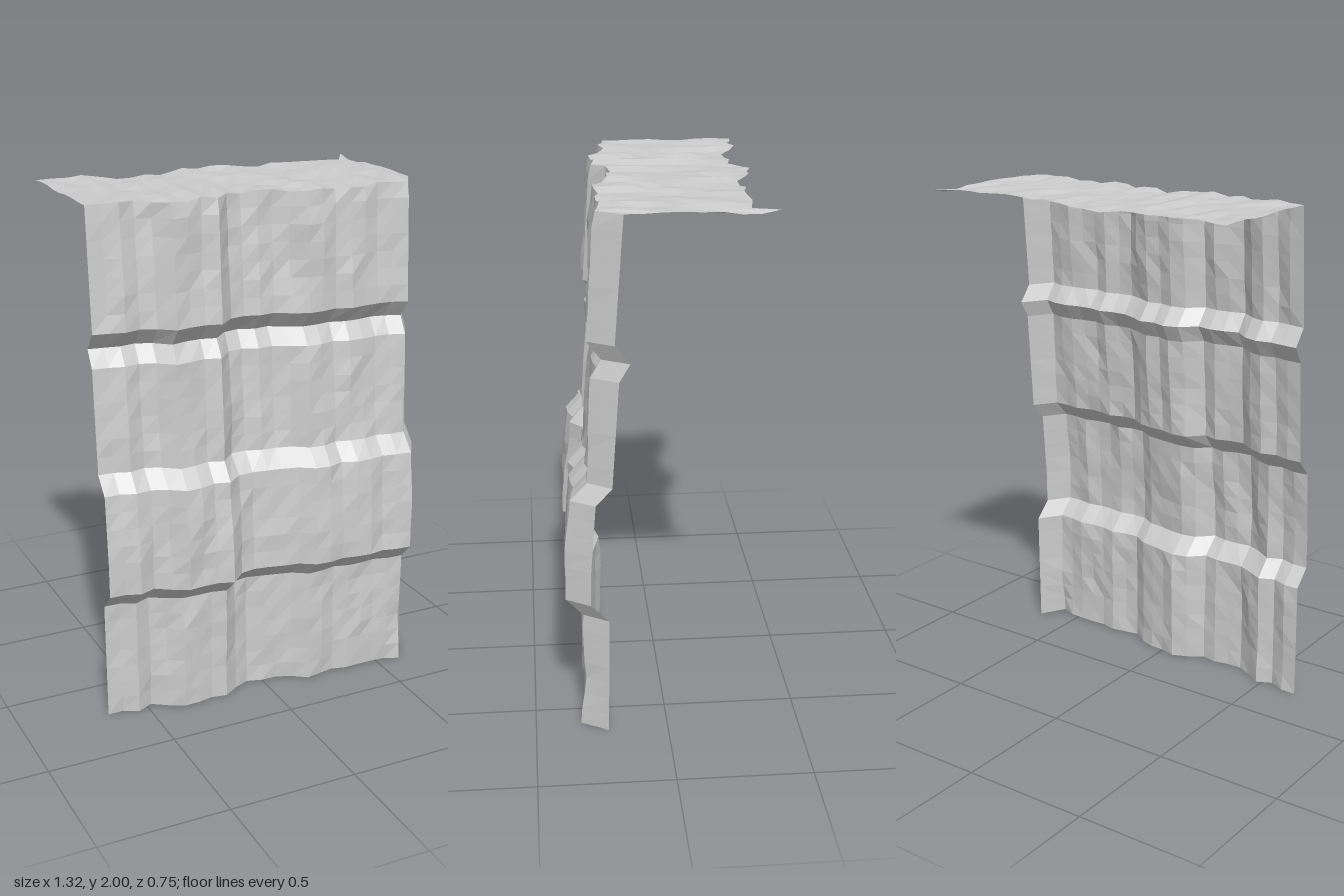
import * as THREE from 'three';

const COLS = 22, ROWS = 30, TOP_ROWS = 8;
const WIDTH = 1.32, HEIGHT = 2, DEPTH = 0.53;

// Depth of the rim at each column, left to right
const RIM = [0.155, 0.16, 0.18, 0.16, 0.185, 0.227, 0.22, 0.21, 0.225, 0.172, 0.157, 0.178,
  0.178, 0.2, 0.238, 0.237, 0.223, 0.238, 0.236, 0.228, 0.237, 0.248, 0.155];

// Ledge profile: height, forward offset
const LEDGES = [[0, 0.07], [0.467, 0.063], [0.533, 0.13], [0.667, 0.128], [0.933, 0.108],
  [1, 0.047], [1.4, 0.02], [1.467, -0.02], [1.533, 0.034], [2, 0]];

// Repeatable value in -1..1 for a grid cell
function hash(i, j) {
  let h = Math.imul(i + 17, 374761393) ^ Math.imul(j + 91, 668265263);
  h = Math.imul(h ^ (h >>> 13), 1274126177);
  return ((h ^ (h >>> 16)) >>> 0) / 2147483647.5 - 1;
}

function ledgeOffset(y) {
  for (let k = 1; k < LEDGES.length; k++) {
    const [y0, a] = LEDGES[k - 1], [y1, b] = LEDGES[k];
    if (y <= y1) return THREE.MathUtils.lerp(a, b, (y - y0) / (y1 - y0));
  }
  return 0;
}

// Rock roughness stretched along the columns, none on the side edges
function rough(i, j) {
  if (i === 0 || i === COLS) return 0;
  const t = j / 3 + (i % 3) / 3, k = Math.floor(t);
  return 0.009 * THREE.MathUtils.lerp(hash(i, k), hash(i, k + 1), t - k) + 0.003 * hash(i + 50, j);
}

// Height of the top surface, shared with the upper edge of the wall
const topHeight = (i, k) => HEIGHT - 0.008 + 0.008 * hash(i + 100, Math.floor((k + (i % 2)) / 2));

// Makes a grid and places each vertex by column and row
function sheet(name, rows, material, place) {
  const geometry = new THREE.PlaneGeometry(1, 1, COLS, rows);
  const pos = geometry.attributes.position;
  for (let r = 0; r <= rows; r++) {
    for (let i = 0; i <= COLS; i++) {
      const [y, z] = place(i, rows - r);
      pos.setXYZ(r * (COLS + 1) + i, (i / COLS - 0.5) * WIDTH, y, z);
    }
  }
  geometry.computeVertexNormals();
  const mesh = new THREE.Mesh(geometry, material);
  mesh.name = name;
  return mesh;
}

export function createModel() {
  const rock = new THREE.MeshStandardMaterial({ color: 0xcccccc, flatShading: true, side: THREE.DoubleSide });
  rock.name = 'rock grey';

  const group = new THREE.Group();
  group.name = 'cliffSection';

  // Stepped wall
  group.add(sheet('cliffWall', ROWS, rock, (i, j) => {
    const y = (j / ROWS) * HEIGHT;
    return [j === ROWS ? topHeight(i, 0) : y,
      RIM[i] + ledgeOffset(y) + (j === ROWS ? 0 : rough(i, j))];
  }));

  // Ground on top, running back from the rim
  group.add(sheet('cliffTop', TOP_ROWS, rock, (i, k) =>
    [topHeight(i, k), RIM[i] - (k / TOP_ROWS) * DEPTH]));

  return group;
}
